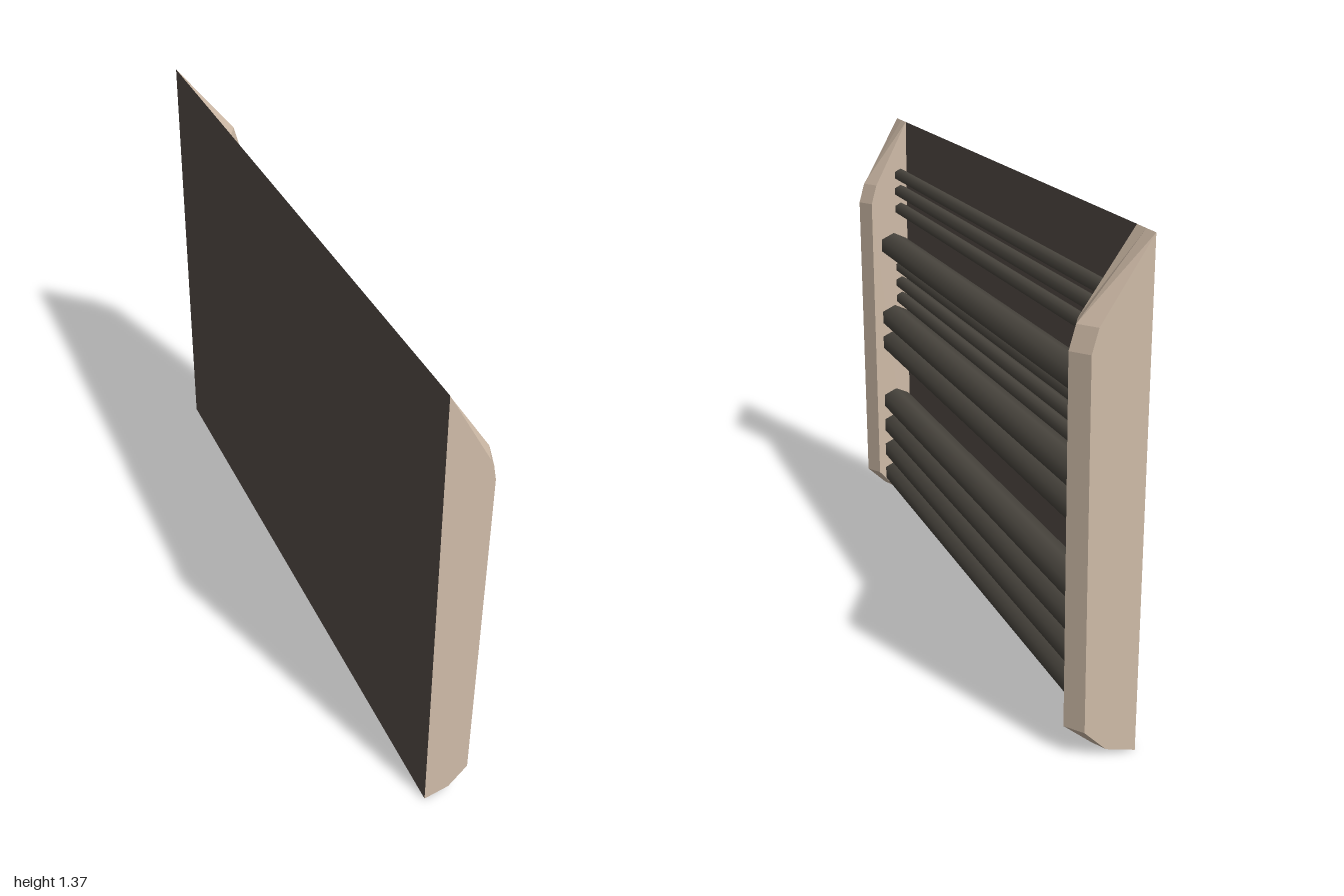
import * as THREE from 'three';

const capMat = new THREE.MeshStandardMaterial({ color: 0xd2beaa, flatShading: true });
const pipeMat = new THREE.MeshStandardMaterial({ color: 0x4a463f });
const plateMat = new THREE.MeshStandardMaterial({ color: 0x59504a, side: THREE.DoubleSide });

const BACK = -0.097, HEIGHT = 1.37;

// Side profile from bottom to top, pushed forward by d
function profile(d) {
  return [
    [BACK, 0], [-0.025 + d * 0.65, 0.02], [0.03 + d, 0.08],
    [0.04 + d, 1.09], [0.022 + d, 1.155], [BACK, HEIGHT],
  ];
}

// End cap: profiles lofted along z, listed from high z to low z as [z, push]
function endCap(name, sections) {
  const pos = [], index = [], n = 6, last = (sections.length - 1) * n;
  for (const [z, d] of sections) for (const [x, y] of profile(d)) pos.push(x, y, z);
  for (let s = 0; s < sections.length - 1; s++) {
    for (let i = 0; i < n - 1; i++) {
      const a = s * n + i, b = a + n;
      index.push(a, b, b + 1, a, b + 1, a + 1);
    }
  }
  // Flat side faces
  for (let i = 1; i < n - 1; i++) {
    index.push(0, i, i + 1, last, last + i + 1, last + i);
  }
  let geo = new THREE.BufferGeometry();
  geo.setAttribute('position', new THREE.Float32BufferAttribute(pos, 3));
  geo.setIndex(index);
  geo = geo.toNonIndexed();
  geo.computeVertexNormals();
  const mesh = new THREE.Mesh(geo, capMat);
  mesh.name = name;
  return mesh;
}

// Six-sided smooth pipe running along z
function pipe(name, x, y, halfWidth, halfHeight) {
  const geo = new THREE.CylinderGeometry(1, 1, 1.8, 6, 1);
  geo.rotateX(Math.PI / 2);
  geo.scale(halfWidth / Math.cos(Math.PI / 6), halfHeight, 1);
  const mesh = new THREE.Mesh(geo, pipeMat);
  mesh.position.set(x, y, 0);
  mesh.name = name;
  return mesh;
}

export function createModel() {
  const group = new THREE.Group();
  group.name = 'pipePanel';

  // Back plate
  const plate = new THREE.Mesh(new THREE.PlaneGeometry(2, HEIGHT), plateMat);
  plate.rotation.y = Math.PI / 2;
  plate.position.set(BACK, HEIGHT / 2, 0);
  plate.name = 'backPlate';
  group.add(plate);

  // End caps, each with a ridge down the middle; the far one is deeper
  group.add(endCap('frontEndCap', [[1, 0], [0.95, 0.022], [0.9, -0.008]]));
  group.add(endCap('rearEndCap', [[-0.9, 0.028], [-0.95, 0.055], [-1, 0.018]]));

  // Thick and thin pipes
  for (const y of [0.077, 0.17, 0.265, 0.36, 0.583, 0.676, 0.94]) {
    group.add(pipe('thickPipe', -0.047, y, 0.045, 0.042));
  }
  for (const y of [0.743, 0.8, 0.857, 1.067, 1.13, 1.187]) {
    group.add(pipe('thinPipe', -0.075, y, 0.021, 0.022));
  }
  return group;
}
